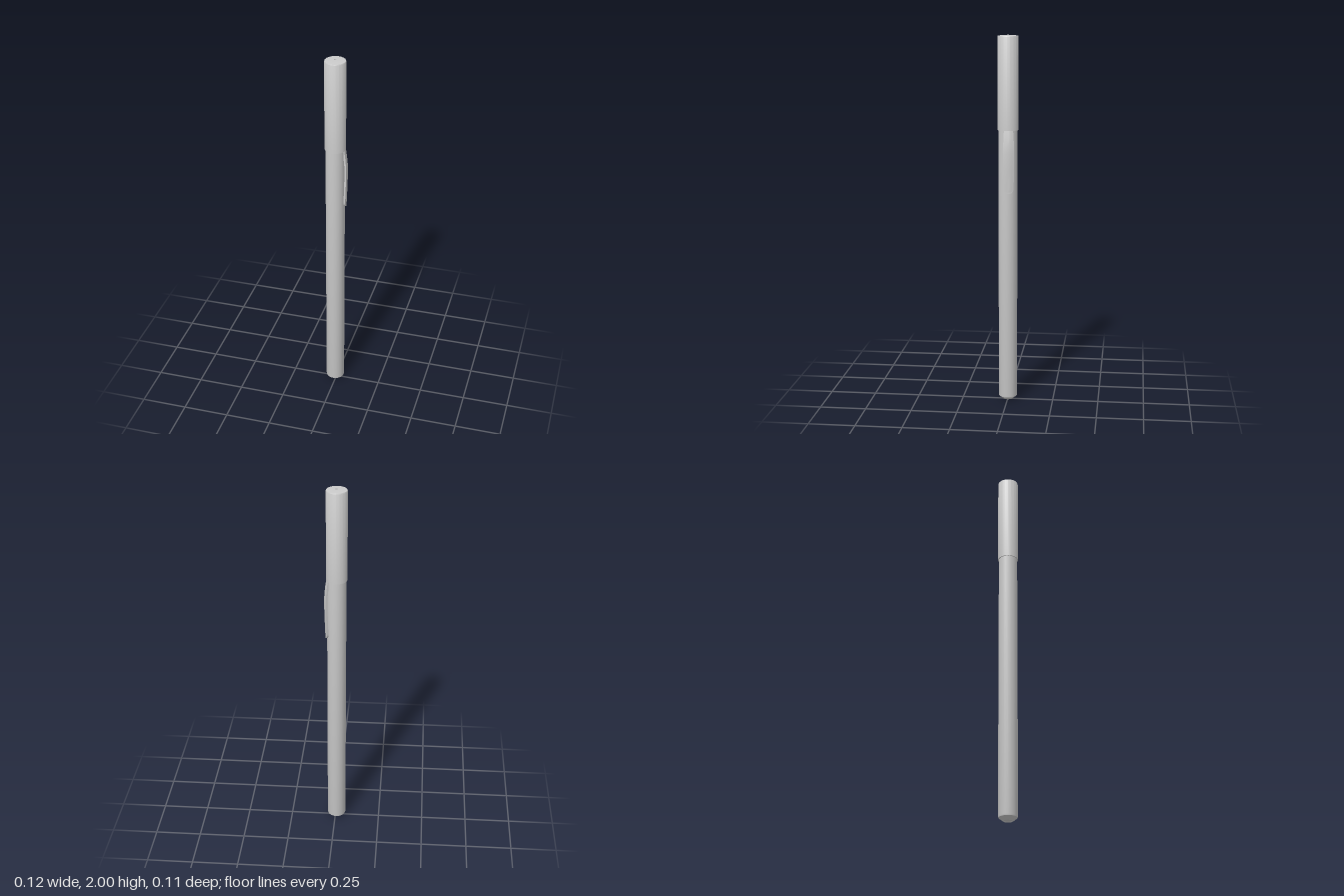
import * as THREE from 'three';
import { toCreasedNormals } from 'three/addons/utils/BufferGeometryUtils.js';

const AXIS_X = -0.007; // the clip sticks out on +x, so the barrel sits slightly off centre
const material = new THREE.MeshStandardMaterial({ color: 0xcccccc, side: THREE.DoubleSide });

function addMesh(group, name, geometry) {
  const mesh = new THREE.Mesh(toCreasedNormals(geometry, 0.5), material);
  mesh.name = name;
  group.add(mesh);
}

function turned(profile) {
  return new THREE.LatheGeometry(profile.map(([r, y]) => new THREE.Vector2(r, y)), 20);
}

// Curved strip hugging the barrel: each row is a closed loop of outer then inner arc points
function clipGeometry() {
  const mid = -0.16, half = 0.46, arc = 4, loop = 2 * (arc + 1);
  // y, outer radius, thickness, share of full width (narrowing to a round tip)
  const rows = [
    [1.165, 0.060, 0.010, 0.3], [1.168, 0.060, 0.010, 0.58], [1.175, 0.0605, 0.010, 0.83],
    [1.185, 0.061, 0.010, 0.96], [1.197, 0.0615, 0.010, 1], [1.29, 0.065, 0.010, 1],
    [1.38, 0.067, 0.010, 1], [1.42, 0.065, 0.010, 1], [1.46, 0.061, 0.011, 1],
    [1.5, 0.055, 0.012, 1],
  ];
  const positions = [], index = [];
  for (const [y, outer, thick, width] of rows) {
    for (let i = 0; i < loop; i++) {
      const inner = i > arc;
      const t = inner ? loop - 1 - i : i;
      const a = mid + half * width * (2 * t / arc - 1);
      const r = inner ? outer - thick : outer;
      positions.push(r * Math.cos(a), y, r * Math.sin(a));
    }
  }
  for (let j = 0; j < rows.length - 1; j++) {
    for (let i = 0; i < loop; i++) {
      const a = j * loop + i, b = j * loop + (i + 1) % loop;
      index.push(a, a + loop, b, b, a + loop, b + loop);
    }
  }
  // End faces
  const top = (rows.length - 1) * loop;
  for (let i = 0; i < arc; i++) {
    const a = i, b = i + 1, c = loop - 2 - i, d = loop - 1 - i;
    index.push(a, b, c, a, c, d, top + a, top + c, top + b, top + a, top + d, top + c);
  }
  const geometry = new THREE.BufferGeometry();
  geometry.setAttribute('position', new THREE.Float32BufferAttribute(positions, 3));
  geometry.setIndex(index);
  return geometry;
}

export function createModel() {
  const pen = new THREE.Group();
  pen.name = 'pen';
  pen.position.x = AXIS_X;

  // Long barrel with a bevelled lower end
  addMesh(pen, 'barrel', turned([[0, 0.005], [0.022, 0.005], [0.026, 0], [0.034, 0.006], [0.049, 0.018], [0.051, 0.025], [0.051, 1.51]]));

  // Wider upper sleeve with a shallow crown and a tiny centre dimple
  addMesh(pen, 'upperSleeve', turned([
    [0.05, 1.5], [0.056, 1.5], [0.056, 1.992], [0.054, 1.996], [0.007, 2], [0.007, 1.994], [0, 1.994],
  ]));

  // Clip emerging from under the sleeve
  addMesh(pen, 'clip', clipGeometry());
  return pen;
}
